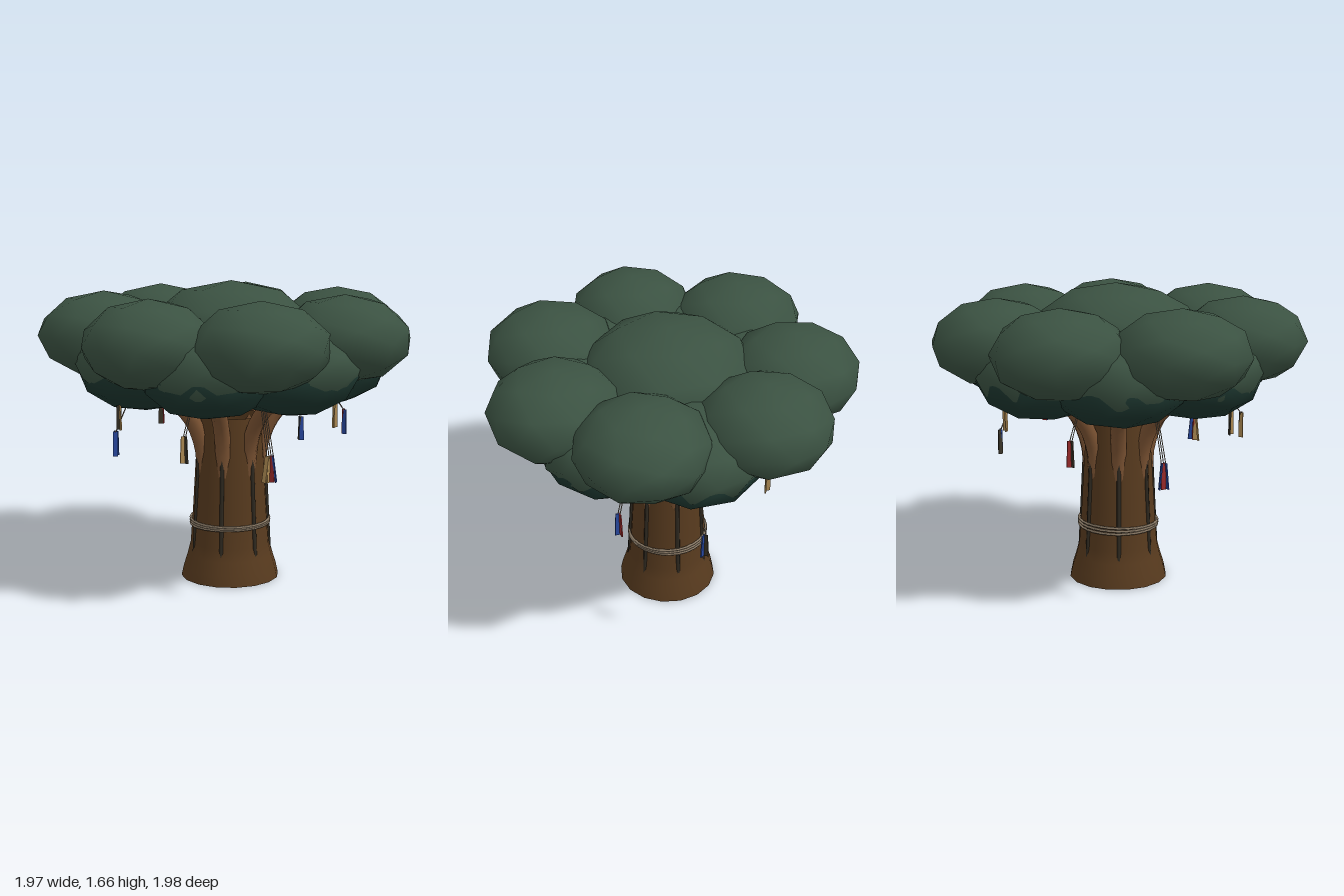
import * as THREE from 'three';

const mat = (name, color, side = THREE.FrontSide) => {
  const m = new THREE.MeshStandardMaterial({ color, side });
  m.name = name;
  return m;
};

export function createModel() {
  const model = new THREE.Group();
  model.name = 'tree';
  const tree = new THREE.Group();
  tree.name = 'treeParts';
  tree.position.x = 0.04;
  model.add(tree);

  const bark = mat('bark', 0x573a1e, THREE.DoubleSide);
  const branchBark = mat('branchBark', 0x7a5232, THREE.DoubleSide);
  const groove = mat('groove', 0x2e2920);
  const leaves = mat('leaves', 0x3b5242);
  const shadeLeaves = mat('shadeLeaves', 0x1c352e);
  const rope = mat('rope', 0x8a7a66);
  const tan = mat('tanPaper', 0xb08c54);
  const red = mat('redPaper', 0x9a2a2a);
  const blue = mat('bluePaper', 0x2848a0);
  const dark = mat('darkPaper', 0x3a3428);

  const add = (name, geometry, material, parent = tree) => {
    const mesh = new THREE.Mesh(geometry, material);
    mesh.name = name;
    parent.add(mesh);
    return mesh;
  };
  // point at an angle around the trunk
  const polar = (angle, r, y) => new THREE.Vector3(Math.cos(angle) * r, y, Math.sin(angle) * r);
  const deg = Math.PI / 180;
  const step = (Math.PI * 2) / 7;

  // hollow flared trunk
  const profile = [[0.275, 0], [0.262, 0.06], [0.24, 0.13], [0.222, 0.2], [0.208, 0.4], [0.193, 0.66], [0.174, 0.92]];
  add('trunk', new THREE.LatheGeometry(profile.map(([r, y]) => new THREE.Vector2(r, y)), 16), bark);

  for (let i = 0; i < 7; i++) {
    const a = i * step;

    // branch curving out into the crown
    const path = new THREE.CatmullRomCurve3([
      polar(a, 0.155, 0.6), polar(a, 0.172, 0.76), polar(a, 0.235, 0.91),
      polar(a, 0.34, 1.02), polar(a, 0.46, 1.1),
    ]);
    add('branch', new THREE.TubeGeometry(path, 10, 0.044, 8), branchBark);

    // dark groove strip, running behind the flare at the foot
    const grooveLine = new THREE.LineCurve3(polar(a, 0.226, 0.03), polar(a, 0.19, 0.72));
    add('barkGroove', new THREE.TubeGeometry(grooveLine, 1, 0.012, 6), groove);
  }

  // rope wound around the trunk
  [[0.307, 0.01], [0.32, 0.02], [0.333, 0.03]].forEach(([y, tilt], i) => {
    const ring = add('trunkRope', new THREE.TorusGeometry(0.221, 0.007, 6, 28), rope);
    ring.position.y = y;
    ring.rotation.set(Math.PI / 2 + (i - 1) * 0.02, tilt, 0);
  });

  // foliage: squashed low-detail balls with smooth shading
  const ball = new THREE.IcosahedronGeometry(1, 1);
  const clump = (name, material, pos, rx, ry, turn = 0) => {
    const m = add(name, ball, material);
    m.position.copy(pos);
    m.scale.set(rx, ry, rx);
    m.rotation.y = -turn * deg;
  };
  clump('crownTop', leaves, new THREE.Vector3(0.01, 1.38, 0), 0.465, 0.28);

  // upper ring: x, z, radius, turn
  [
    [-0.68, 0.01, 0.35, 0], [-0.44, -0.53, 0.365, 5], [0.16, -0.645, 0.36, -12],
    [0.58, -0.34, 0.355, -5], [0.605, 0.3, 0.355, 58], [0.17, 0.635, 0.36, 12],
    [-0.42, 0.53, 0.36, -5],
  ].forEach(([x, z, r, turn]) => clump('upperLeaves', leaves, new THREE.Vector3(x, 1.37, z), r, 0.235, turn));

  // lower ring, with darker clumps beneath
  for (let i = 0; i < 7; i++) {
    clump('lowerLeaves', leaves, polar(i * step, 0.525, 1.25), 0.36, 0.23, i * 20);
    clump('shadeLeaves', shadeLeaves, polar(i * step, 0.5, 1.2), 0.365, 0.22, i * 50);
  }

  // paper strips hanging on cords below the crown: angle, distance, papers
  const bundles = [
    [0, 0.68, [dark, blue]], [38, 0.665, [red, blue]], [80, 0.63, [tan, tan]],
    [123, 0.64, [blue, red, tan, tan]], [161, 0.695, [dark, tan]], [199, 0.69, [tan, dark]],
    [237, 0.645, [blue, red, blue]], [281, 0.62, [dark, red]], [324, 0.655, [tan, tan]],
  ];
  const stripShape = new THREE.BoxGeometry(0.007, 0.14, 0.026);
  bundles.forEach(([angle, r, papers], i) => {
    const top = [0.81, 0.92, 1.04][i % 3];
    const bundle = new THREE.Group();
    bundle.name = 'hangingBundle';
    bundle.rotation.y = -angle * deg;
    tree.add(bundle);
    papers.forEach((paper, j) => {
      const k = j - (papers.length - 1) / 2;
      const cord = new THREE.QuadraticBezierCurve3(
        new THREE.Vector3(r - 0.12, 1.08, k * 0.008),
        new THREE.Vector3(r - 0.05, 0.55 * top + 0.486, k * 0.01),
        new THREE.Vector3(r, top - 0.005, k * 0.012));
      add('cord', new THREE.TubeGeometry(cord, 6, 0.0025, 5), rope, bundle);
      const strip = add('paperStrip', stripShape, paper, bundle);
      strip.position.set(r, top - 0.07, k * 0.016);
      strip.rotation.set(-k * 0.09, k * 1.4, 0);
    });
  });

  return model;
}
